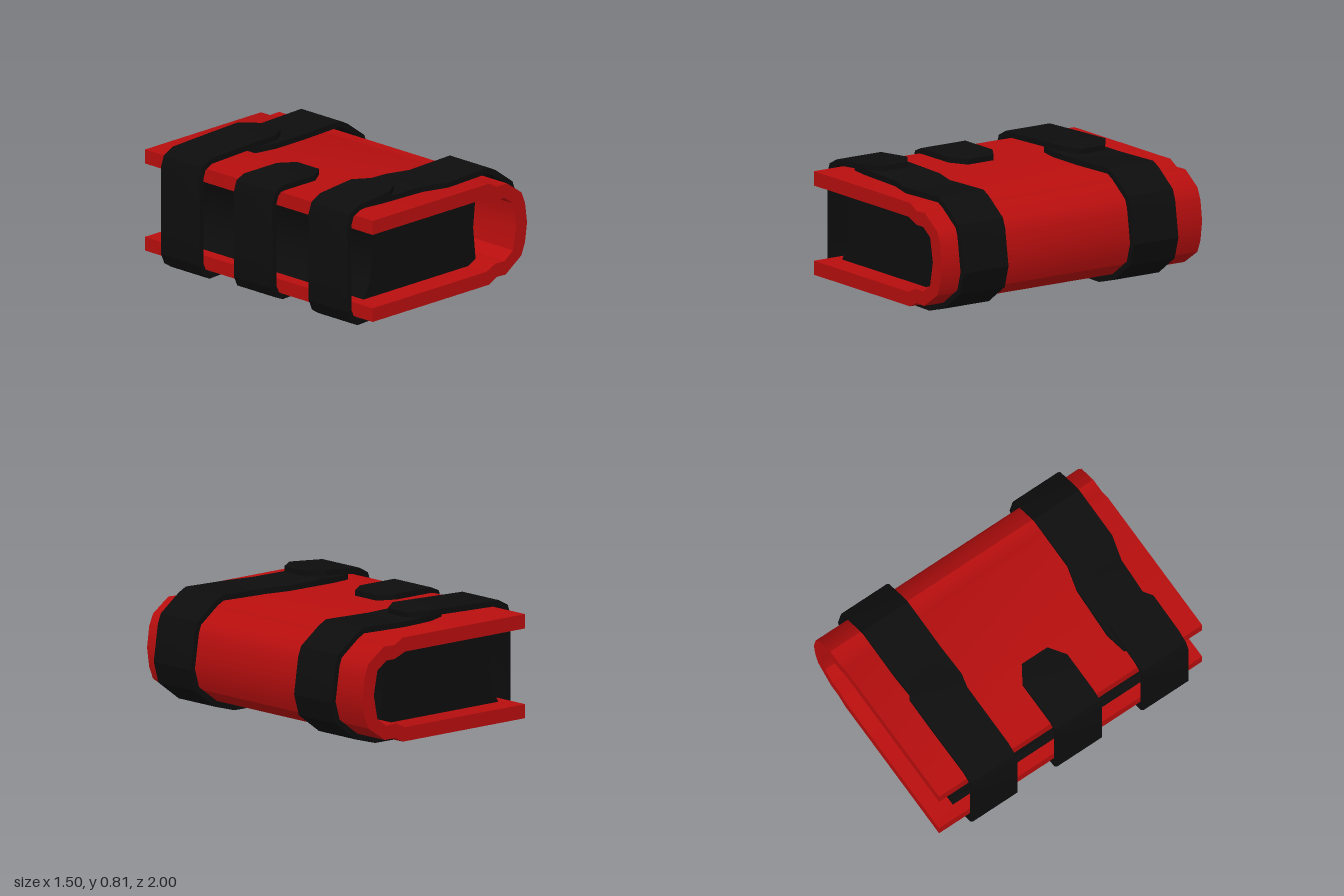
import * as THREE from 'three';
import { toCreasedNormals } from 'three/addons/utils/BufferGeometryUtils.js';

const red = new THREE.MeshStandardMaterial({ color: 0xb80e0e });
const black = new THREE.MeshStandardMaterial({ color: 0x0d0d0d });

function addMesh(group, name, geometry, material, crease) {
  const mesh = new THREE.Mesh(toCreasedNormals(geometry, crease), material);
  mesh.name = name;
  group.add(mesh);
}

// Closed x/y outline extruded along z, centred on z = 0
function prism(points, depth) {
  const shape = new THREE.Shape(points.map(([x, y]) => new THREE.Vector2(x, y)));
  const geometry = new THREE.ExtrudeGeometry(shape, { depth, bevelEnabled: false });
  return geometry.translate(0, 0, -depth / 2);
}

// Flat band along a clockwise outer path of [x, y, zBack, zFront] stations
function band(stations, thickness) {
  const pos = [], index = [];
  const direction = (a, b) => new THREE.Vector2(b[0] - a[0], b[1] - a[1]).normalize();
  stations.forEach((s, i) => {
    const before = direction(stations[Math.max(i - 1, 0)], stations[Math.max(i, 1)]);
    const last = stations.length - 1;
    const after = direction(stations[Math.min(i, last - 1)], stations[Math.min(i + 1, last)]);
    const t = before.clone().add(after).normalize();
    const inset = thickness / Math.max(t.dot(after), 0.5);
    const [x, y, z0, z1] = s;
    const ix = x + t.y * inset, iy = y - t.x * inset;
    pos.push(x, y, z1, x, y, z0, ix, iy, z0, ix, iy, z1);
    if (i === last) return;
    for (let k = 0; k < 4; k++) {
      const a = i * 4 + k, b = i * 4 + (k + 1) % 4;
      index.push(a, a + 4, b + 4, a, b + 4, b);
    }
  });
  const e = (stations.length - 1) * 4;
  index.push(0, 1, 2, 0, 2, 3, e + 3, e + 2, e + 1, e + 3, e + 1, e);
  const geometry = new THREE.BufferGeometry();
  geometry.setAttribute('position', new THREE.Float32BufferAttribute(pos, 3));
  geometry.setIndex(index);
  return geometry;
}

// Strap: tucked tail, loop around the sleeve, then the overlapping flap
function strap(tail, flap, right, left) {
  const loopRight = [
    [0.12, 0.765], [0.48, 0.775], [0.54, 0.745], [0.69, 0.635], [0.715, 0.57],
    [0.75, 0.335], [0.71, 0.195], [0.54, 0.07], [0.38, 0.025],
  ];
  const loopLeft = [
    [-0.2, 0.025], [-0.66, 0.003], [-0.72, 0.04], [-0.75, 0.11],
    [-0.75, 0.68], [-0.725, 0.75], [-0.65, 0.79],
  ];
  return band([
    ...tail,
    ...loopRight.map((p) => [...p, ...right]),
    ...loopLeft.map((p) => [...p, ...left]),
    ...flap,
  ], 0.036);
}

export function createModel() {
  const group = new THREE.Group();

  // C-shaped sleeve, open on the -x side
  addMesh(group, 'sleeve', prism([
    [-0.68, 0.065], [0.35, 0.065], [0.42, 0.1], [0.5, 0.097], [0.64, 0.19],
    [0.672, 0.27], [0.69, 0.395], [0.672, 0.53], [0.64, 0.605], [0.51, 0.695],
    [0.42, 0.692], [0.35, 0.73], [-0.68, 0.73],
    [-0.68, 0.638], [0.33, 0.638], [0.42, 0.603], [0.49, 0.603], [0.565, 0.55],
    [0.595, 0.395], [0.565, 0.24], [0.49, 0.187], [0.41, 0.19], [0.33, 0.155], [-0.68, 0.155],
  ], 2), red, 0.6);

  // Core block with hollowed sides
  addMesh(group, 'core', prism([
    [-0.6, 0.156], [0.33, 0.156], [0.395, 0.19], [0.373, 0.4], [0.395, 0.605], [0.33, 0.637],
    [-0.6, 0.637], [-0.545, 0.545], [-0.522, 0.4], [-0.547, 0.25],
  ], 1.68), black, 0.4);

  addMesh(group, 'frontStrap', strap(
    [[-0.55, 0.765, 0.5, 0.78], [-0.4, 0.77, 0.47, 0.81], [-0.05, 0.768, 0.485, 0.825]],
    [[-0.37, 0.815, 0.505, 0.845], [-0.26, 0.815, 0.58, 0.77]],
    [0.53, 0.872], [0.507, 0.847],
  ), black, 0.4);

  addMesh(group, 'backStrap', strap(
    [[-0.25, 0.765, -0.7, -0.46], [-0.1, 0.768, -0.765, -0.425]],
    [[-0.3, 0.802, -0.795, -0.455], [-0.06, 0.81, -0.795, -0.455], [0.05, 0.8, -0.71, -0.53]],
    [-0.775, -0.43], [-0.79, -0.453],
  ), black, 0.4);

  // Short clip hooked over the open edge
  const full = [-0.15, 0.19], tip = [-0.08, 0.115];
  addMesh(group, 'clip', band([
    [-0.26, 0.035, ...tip], [-0.37, 0.03, ...full], [-0.66, 0.02, ...full], [-0.72, 0.045, ...full],
    [-0.75, 0.11, ...full], [-0.75, 0.67, ...full], [-0.725, 0.74, ...full], [-0.66, 0.768, ...full],
    [-0.37, 0.768, ...full], [-0.26, 0.765, ...tip],
  ], 0.036), black, 0.4);

  return group;
}
